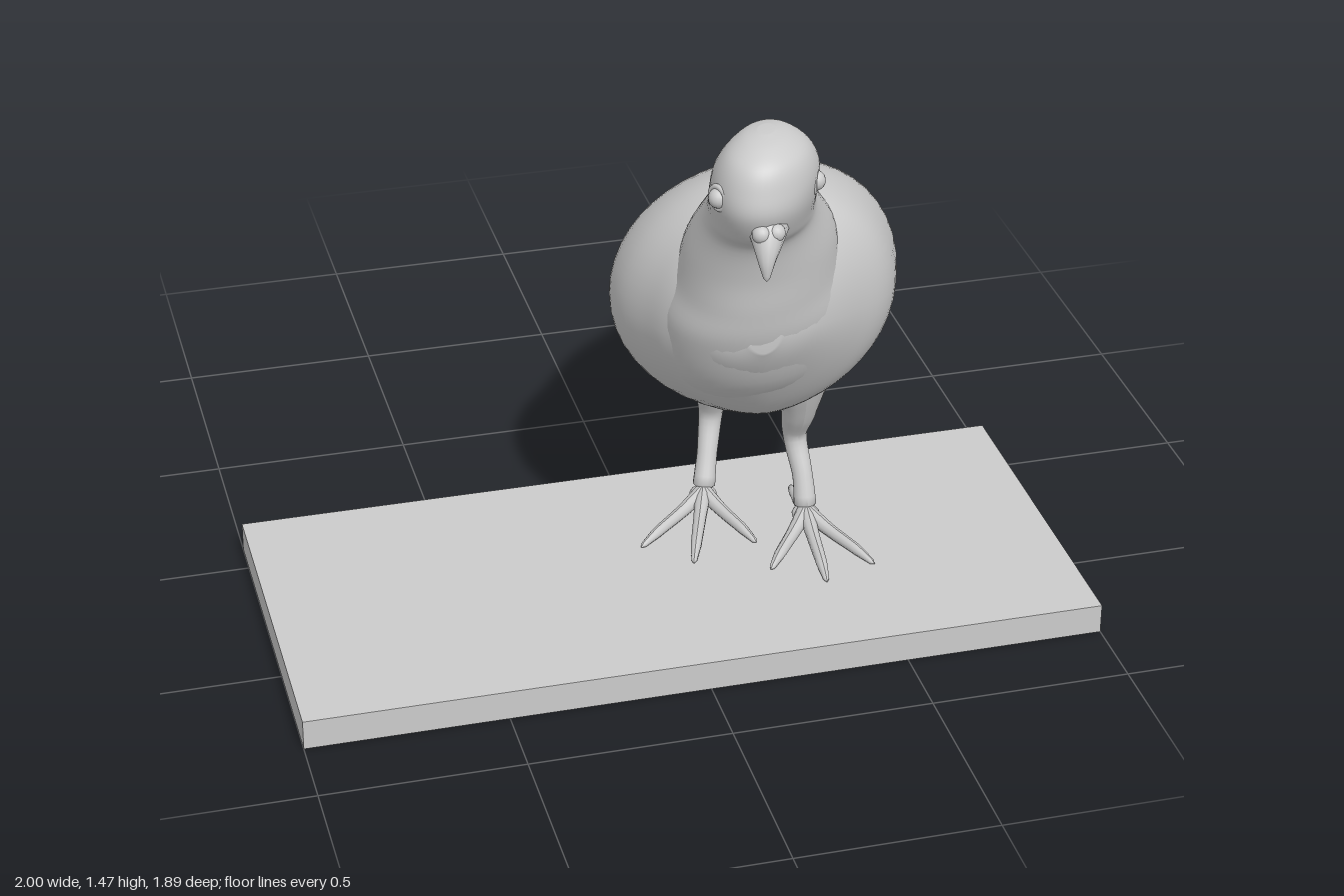
import * as THREE from 'three';

const grey = new THREE.MeshStandardMaterial({ color: 0xcccccc, side: THREE.DoubleSide });
const V = (p) => new THREE.Vector3(p[0], p[1], p[2]);

function add(parent, name, geometry) {
  const mesh = new THREE.Mesh(geometry, grey);
  mesh.name = name;
  parent.add(mesh);
  return mesh;
}

// Smoothly fill in the rows between the given key sections
function refine(rows, steps = 6) {
  const out = [];
  const at = (i) => rows[Math.min(rows.length - 1, Math.max(0, i))];
  for (let i = 0; i < rows.length - 1; i++) {
    for (let s = 0; s < steps; s++) {
      const t = s / steps;
      out.push(rows[i].map((b, k) => {
        const a = at(i - 1)[k], c = at(i + 1)[k], d = at(i + 2)[k];
        return b + 0.5 * t * (c - a + t * (2 * a - 5 * b + 4 * c - d + t * (3 * (b - c) + d - a)));
      }));
    }
  }
  out.push(rows[rows.length - 1]);
  return out;
}

// Closed skin through rings; ring(row, angle) returns a point
function loft(keys, ring, sides = 40) {
  const rows = refine(keys);
  const rings = rows.map((r) => Array.from({ length: sides }, (_, j) => ring(r, (j / sides) * Math.PI * 2)));
  // Collapse both ends to a point
  const middle = (pts) => {
    const m = [0, 1, 2].map((k) => pts.reduce((sum, p) => sum + p[k], 0) / sides);
    return pts.map(() => m);
  };
  rings.unshift(middle(rings[0]));
  rings.push(middle(rings[rings.length - 1]));
  const index = [];
  for (let i = 0; i < rings.length - 1; i++) {
    for (let j = 0; j < sides; j++) {
      const a = i * sides + j, b = i * sides + (j + 1) % sides;
      index.push(a, a + sides, b, b, a + sides, b + sides);
    }
  }
  const g = new THREE.BufferGeometry();
  g.setAttribute('position', new THREE.Float32BufferAttribute(rings.flat(2), 3));
  g.setIndex(index);
  g.computeVertexNormals();
  return g;
}

// Upright section: [z, centre x, half width, top, widest height, bottom]
function uprightRing([z, cx, hw, top, mid, bottom], t) {
  const s = Math.sin(t), c = Math.cos(t);
  const wide = s < 0 ? Math.sign(c) * Math.pow(Math.abs(c), 1.15) : c;
  return [cx + hw * wide, mid + s * (s > 0 ? top - mid : mid - bottom), z];
}

// Level section: [y, centre x, centre z, radius x, radius z], turned with the body
function levelRing([y, cx, cz, rx, rz], t) {
  const dz = -rz * Math.sin(t);
  return [cx + rx * Math.cos(t) - 0.25 * dz, y, cz + dz];
}

// Round limb along a path, points given as [x, y, z, radius]
function limb(points, sides = 12) {
  const n = 20;
  const path = new THREE.CatmullRomCurve3(points.map(V));
  const g = new THREE.TubeGeometry(path, n, 1, sides);
  const pos = g.attributes.position, p = new THREE.Vector3();
  for (let i = 0; i <= n; i++) {
    const u = i / n, centre = path.getPointAt(u);
    const f = path.getUtoTmapping(u) * (points.length - 1);
    const k = Math.min(points.length - 2, Math.floor(f));
    let r = THREE.MathUtils.lerp(points[k][3], points[k + 1][3], f - k);
    if (i === n) r *= 0.05;
    for (let j = 0; j <= sides; j++) {
      const v = i * (sides + 1) + j;
      p.fromBufferAttribute(pos, v).sub(centre).multiplyScalar(r).add(centre);
      pos.setXYZ(v, p.x, p.y, p.z);
    }
  }
  g.computeVertexNormals();
  return g;
}

export function createModel() {
  const model = new THREE.Group();
  model.name = 'birdOnBoard';

  const board = add(model, 'board', new THREE.BoxGeometry(2, 0.077, 0.9));
  board.position.set(0, 0.0385, 0.36);

  const bird = new THREE.Group();
  bird.name = 'bird';
  model.add(bird);

  // Torso with the folded wings
  add(bird, 'body', loft([
    [0.765, 0.13, 0.04, 0.99, 0.94, 0.89],
    [0.72, 0.135, 0.13, 1.08, 0.92, 0.81],
    [0.6, 0.18, 0.235, 1.14, 0.88, 0.645],
    [0.5, 0.22, 0.305, 1.17, 0.86, 0.565],
    [0.35, 0.235, 0.355, 1.165, 0.83, 0.495],
    [0.2, 0.265, 0.365, 1.11, 0.8, 0.45],
    [0, 0.33, 0.328, 1.0, 0.76, 0.46],
    [-0.2, 0.37, 0.267, 0.885, 0.71, 0.52],
    [-0.4, 0.435, 0.175, 0.765, 0.67, 0.575],
    [-0.6, 0.49, 0.095, 0.69, 0.64, 0.59],
    [-0.74, 0.54, 0.045, 0.65, 0.62, 0.595],
  ], uprightRing, 48));

  // Belly running back into the tail
  add(bird, 'bellyAndTail', loft([
    [0.4, 0.24, 0.1, 0.7, 0.6, 0.53],
    [0.25, 0.28, 0.18, 0.75, 0.59, 0.43],
    [0.1, 0.31, 0.21, 0.75, 0.6, 0.405],
    [-0.1, 0.37, 0.2, 0.75, 0.6, 0.43],
    [-0.3, 0.44, 0.165, 0.66, 0.55, 0.43],
    [-0.5, 0.485, 0.143, 0.59, 0.49, 0.385],
    [-0.7, 0.535, 0.14, 0.525, 0.44, 0.337],
    [-0.85, 0.565, 0.127, 0.475, 0.415, 0.355],
    [-0.92, 0.58, 0.09, 0.445, 0.41, 0.38],
    [-0.94, 0.582, 0.045, 0.425, 0.41, 0.4],
  ], uprightRing));

  // Crossed wing tips
  const tips = { leftWingTip: [0.51, 0.548, 0.572, 0.58], rightWingTip: [0.35, 0.435, 0.505, 0.537] };
  for (const [name, x] of Object.entries(tips)) {
    add(bird, name, loft([
      [-0.3, x[0], 0.09, 0.78, 0.69, 0.6],
      [-0.55, x[1], 0.05, 0.71, 0.65, 0.59],
      [-0.72, x[2], 0.028, 0.672, 0.63, 0.588],
      [-0.8, x[3], 0.012, 0.645, 0.62, 0.6],
    ], uprightRing, 20));
  }

  // Head, neck and breast
  add(bird, 'headAndNeck', loft([
    [1.472, 0.125, 0.76, 0.02, 0.025],
    [1.46, 0.125, 0.765, 0.06, 0.075],
    [1.43, 0.125, 0.772, 0.1, 0.115],
    [1.38, 0.128, 0.757, 0.125, 0.152],
    [1.32, 0.13, 0.735, 0.13, 0.18],
    [1.25, 0.14, 0.685, 0.13, 0.195],
    [1.2, 0.155, 0.63, 0.145, 0.2],
    [1.1, 0.175, 0.56, 0.185, 0.24],
    [1.0, 0.18, 0.53, 0.205, 0.255],
    [0.9, 0.185, 0.5, 0.235, 0.26],
    [0.75, 0.2, 0.45, 0.23, 0.235],
    [0.62, 0.22, 0.38, 0.17, 0.17],
  ], levelRing, 48));

  // Beak: hooked upper half, short lower half and the soft swellings above
  add(bird, 'upperBeak', limb([
    [0.105, 1.29, 0.85, 0.055], [0.093, 1.265, 0.893, 0.04],
    [0.083, 1.225, 0.925, 0.021], [0.08, 1.178, 0.938, 0.005]]));
  add(bird, 'lowerBeak', limb([
    [0.105, 1.245, 0.85, 0.035], [0.095, 1.225, 0.885, 0.022], [0.085, 1.205, 0.912, 0.006]]));
  for (const s of [-1, 1]) {
    const swelling = add(bird, 'beakSwelling', new THREE.SphereGeometry(0.022, 16, 12));
    swelling.position.set(0.092 + s * 0.017, 1.283, 0.905);
  }

  // Eyes with lids
  for (const s of [-1, 1]) {
    const eye = new THREE.Group();
    eye.name = s > 0 ? 'leftEye' : 'rightEye';
    eye.position.set(0.115 + s * 0.118, 1.345, 0.81 - s * 0.015);
    eye.rotation.y = s * 1.15;
    add(eye, 'eyeball', new THREE.SphereGeometry(0.024, 16, 12));
    add(eye, 'eyelid', new THREE.TorusGeometry(0.027, 0.007, 8, 24));
    bird.add(eye);
  }

  // Legs: hip, knee, ankle, then toe tips (x, z)
  const legs = {
    leftLeg: {
      bone: [[0.385, 0.5, 0.2, 0.1], [0.395, 0.4, 0.2, 0.05], [0.395, 0.29, 0.165, 0.031],
        [0.405, 0.19, 0.21, 0.026], [0.405, 0.1, 0.245, 0.03]],
      toes: [[0.51, 0.5], [0.37, 0.55], [0.25, 0.46], [0.41, 0.09]],
    },
    rightLeg: {
      bone: [[0.23, 0.5, 0.07, 0.1], [0.215, 0.4, 0.04, 0.05], [0.215, 0.29, 0.01, 0.031],
        [0.195, 0.19, 0.05, 0.026], [0.175, 0.1, 0.09, 0.03]],
      toes: [[0.25, 0.33], [0.07, 0.385], [-0.04, 0.28], [0.22, -0.06]],
    },
  };
  for (const [name, { bone, toes }] of Object.entries(legs)) {
    const leg = new THREE.Group();
    leg.name = name;
    bird.add(leg);
    add(leg, 'shank', limb(bone, 16));
    const [ax, , az] = bone[4];
    const pad = add(leg, 'footPad', new THREE.SphereGeometry(0.036, 16, 12));
    pad.position.set(ax, 0.095, az);
    pad.scale.y = 0.6;
    for (const [x, z] of toes) {
      const along = (t, y, r) => [ax + (x - ax) * t, y, az + (z - az) * t, r];
      add(leg, 'toe', limb([along(0, 0.105, 0.022), along(0.35, 0.094, 0.017),
        along(0.75, 0.09, 0.014), along(1, 0.083, 0.006)], 10));
    }
  }
  return model;
}
